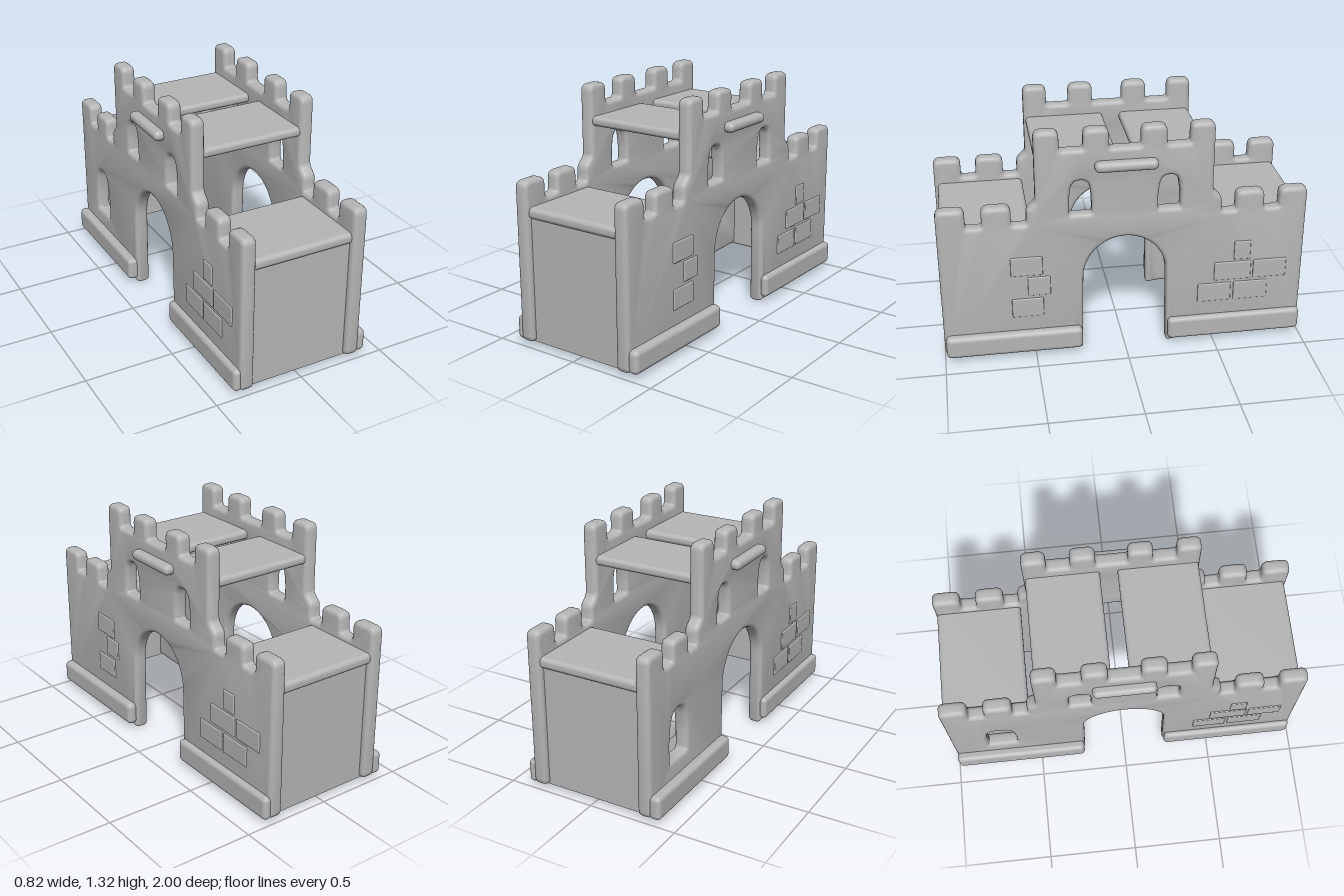
import * as THREE from 'three';
import { toCreasedNormals } from 'three/addons/utils/BufferGeometryUtils.js';
import { RoundedBoxGeometry } from 'three/addons/geometries/RoundedBoxGeometry.js';

const stone = new THREE.MeshStandardMaterial({ color: 0xb6b6b6 });
stone.name = 'stone grey';

// Traces a closed outline of [z, y, cornerRadius] points into a shape or path
function trace(path, pts) {
  pts.forEach(([x, y, r = 0], i) => {
    const p = new THREE.Vector2(x, y);
    const toward = (q) => {
      const d = new THREE.Vector2(q[0] - x, q[1] - y);
      const len = d.length();
      return d.multiplyScalar(Math.min(r, len * 0.48) / len).add(p);
    };
    if (!r) {
      if (i) path.lineTo(x, y); else path.moveTo(x, y);
      return;
    }
    const a = toward(pts[(i + pts.length - 1) % pts.length]);
    const b = toward(pts[(i + 1) % pts.length]);
    if (i) path.lineTo(a.x, a.y); else path.moveTo(a.x, a.y);
    path.quadraticCurveTo(x, y, b.x, b.y);
  });
  path.closePath();
  return path;
}

// Small window with a rounded head
function windowHole(z, y0, y1, half) {
  const h = y1 - y0;
  return trace(new THREE.Path(), [
    [z - half, y0, 0.012], [z + half, y0, 0.012], [z + half, y0 + h * 0.45, 0.02],
    [z + half * 0.75, y1, half * 0.9], [z - half * 0.75, y1, half * 0.9], [z - half, y0 + h * 0.45, 0.02],
  ]);
}

// Battlemented side wall with an archway through its middle
function wallGeometry(extraWindow) {
  const R = 0.04;
  // One half of the battlements, from the tower middle outward
  const half = [
    [0.085, 1.21, 0.02], [0.085, 1.32, R], [0.22, 1.32, R], [0.22, 1.21, 0.02],
    [0.345, 1.21, 0.02], [0.345, 1.32, R], [0.475, 1.32, R], [0.475, 0.93, 0.02],
    [0.5, 0.905, 0.03], [0.525, 0.88, 0.03], [0.525, 0.8, 0.02],
    [0.605, 0.8, 0.02], [0.605, 0.91, R], [0.76, 0.91, R], [0.76, 0.8, 0.02],
    [0.845, 0.8, 0.02], [0.845, 0.91, R], [0.998, 0.91, R], [0.998, 0.03, 0.03],
    [0.3, 0.008, 0.02], [0.235, 0.0, 0.02],
  ];
  const arch = [];
  for (let i = 0; i <= 24; i++) {
    const a = (Math.PI * i) / 24;
    arch.push([-0.228 * Math.cos(a), 0.45 + 0.24 * Math.sin(a)]);
  }
  const left = half.map(([z, y, r]) => [-z, y, r]);
  const shape = trace(new THREE.Shape(), [...half.slice().reverse(), ...left, ...arch]);
  for (const z of [-0.238, 0.238]) shape.holes.push(windowHole(z, 0.84, 1.035, 0.06));
  if (extraWindow) shape.holes.push(windowHole(-0.71, 0.25, 0.53, 0.083));
  const bevel = 0.024;
  const geo = new THREE.ExtrudeGeometry(shape, {
    depth: 0.08 - 2 * bevel, bevelThickness: bevel, bevelSize: bevel,
    bevelOffset: -bevel, bevelSegments: 4, curveSegments: 5,
  });
  geo.translate(0, 0, -(0.04 - bevel));
  geo.rotateY(-Math.PI / 2);
  return toCreasedNormals(geo, 0.75);
}

export function createModel() {
  const model = new THREE.Group();
  model.name = 'playCastle';

  const add = (name, geo, x, y, z) => {
    const mesh = new THREE.Mesh(geo, stone);
    mesh.name = name;
    mesh.position.set(x, y, z);
    model.add(mesh);
    return mesh;
  };
  // Rounded block given by its limits on each axis
  const block = (name, [x0, x1], [y0, y1], [z0, z1], r) =>
    add(name, new RoundedBoxGeometry(x1 - x0, y1 - y0, z1 - z0, 4, r),
      (x0 + x1) / 2, (y0 + y1) / 2, (z0 + z1) / 2);

  // Raised bricks: [z centre, y centre, length]
  const manyBricks = [
    [0.65, 0.555, 0.1], [0.6, 0.43, 0.215], [0.81, 0.43, 0.195], [0.5, 0.3, 0.195], [0.705, 0.3, 0.2],
  ];
  const fewBricks = [[0.535, 0.555, 0.18], [0.47, 0.43, 0.13], [0.535, 0.3, 0.18]];

  for (const s of [1, -1]) {
    const side = s > 0 ? 'left' : 'right';
    const cx = s * 0.321;
    const span = (a, b) => (s > 0 ? [a, b] : [-b, -a]);
    add(side + 'Wall', wallGeometry(s < 0), cx, 0, 0);

    // Plinths either side of the archway, and the ledge on the tower
    block(side + 'FrontPlinth', span(0.345, s > 0 ? 0.408 : 0.393), [0.03, 0.16], [0.24, 0.99], 0.028);
    block(side + 'BackPlinth', span(0.345, s > 0 ? 0.395 : 0.41), [0.03, 0.16], [-0.995, -0.24], 0.024);
    block(side + 'Ledge', span(0.34, 0.41), [1.09, 1.147], [-0.17, 0.165], 0.027);

    // Brick patches
    const patches = s > 0 ? [[manyBricks, -1], [fewBricks, 1]] : [[manyBricks, 1]];
    for (const [bricks, dir] of patches) {
      for (const [z, y, len] of bricks) {
        add(side + 'Brick', new RoundedBoxGeometry(0.016, 0.112, len - 0.008, 2, 0.006),
          s * 0.36, y, z * dir);
      }
    }
  }

  // Roof decks between the walls
  const inside = [-0.3, 0.3];
  block('frontRoof', inside, [0.71, 0.772], [0.5, 0.98], 0.025);
  block('backRoof', inside, [0.71, 0.772], [-0.99, -0.52], 0.025);
  block('frontTowerRoof', inside, [1.095, 1.148], [0.03, 0.465], 0.022);
  block('backTowerRoof', inside, [1.095, 1.148], [-0.465, -0.065], 0.022);

  // End panels closing the front and back
  for (const s of [1, -1]) {
    add(s > 0 ? 'frontPanel' : 'backPanel', new THREE.BoxGeometry(0.6, 0.71, 0.03), 0, 0.385, s * 0.95);
  }
  return model;
}
